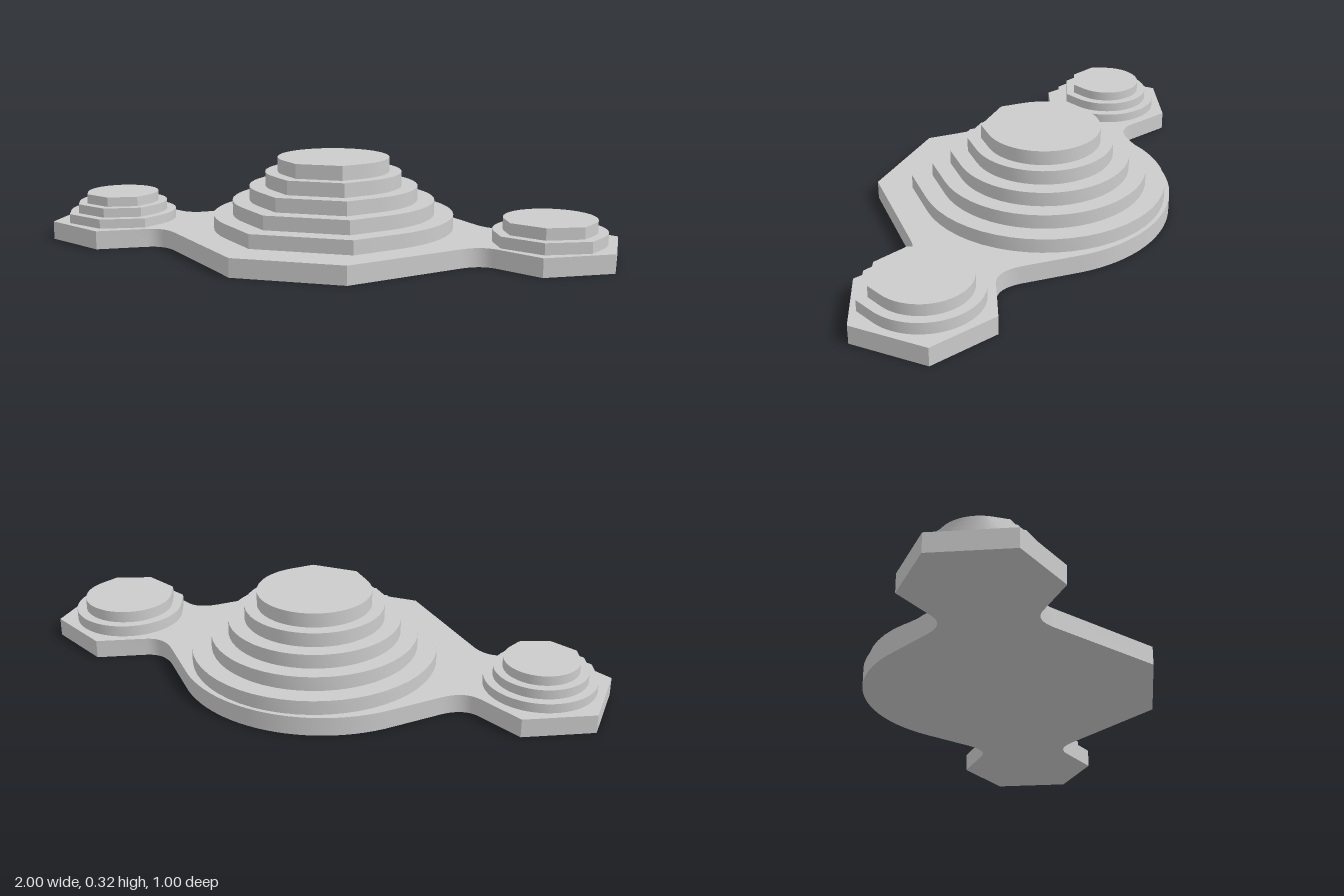
import * as THREE from 'three';
import { toCreasedNormals } from 'three/addons/utils/BufferGeometryUtils.js';

const material = new THREE.MeshStandardMaterial({ color: 0xcccccc });
const RAD = Math.PI / 180;

// Extrude a plan outline (x, -z) upwards from y0 to y1
function slab(name, points, y0, y1) {
  let geo = new THREE.ExtrudeGeometry(new THREE.Shape(points), { depth: y1 - y0, bevelEnabled: false });
  geo.rotateX(-Math.PI / 2);
  geo.translate(0, y0, 0);
  geo = toCreasedNormals(geo, 15 * RAD);
  const mesh = new THREE.Mesh(geo, material);
  mesh.name = name;
  return mesh;
}

// Round plan whose front is octagonal; corners are angles from the front in degrees
function facetedRound(r, corners, arcStart) {
  const pts = [];
  const at = (deg, d) => pts.push(new THREE.Vector2(Math.sin(deg * RAD) * d, -Math.cos(deg * RAD) * d));
  corners.forEach((a) => at(a, r / Math.cos(22.5 * RAD)));
  const n = 40;
  for (let i = 0; i <= n; i++) at(arcStart + ((360 - 2 * arcStart) * i) / n, r);
  return pts;
}

// Stack of shrinking tiers
function mound(name, x, z, radii, heights, corners, arcStart) {
  const group = new THREE.Group();
  group.name = name;
  radii.forEach((r, i) => {
    group.add(slab(`${name}Tier${i + 1}`, facetedRound(r, corners, arcStart), heights[i], heights[i + 1]));
  });
  group.position.set(x, 0, z);
  return group;
}

// Base plate: central body with a round back, filleted necks and hexagonal ends
function baseOutline() {
  const v = (x, y) => new THREE.Vector2(x, y);
  const neck = (s) =>
    new THREE.QuadraticBezierCurve(v(0.5, s * 0.2), v(0.56, s * 0.138), v(0.62, s * 0.168)).getPoints(8);
  const right = [
    v(0.195, -0.502),
    ...neck(-1),
    v(0.777, -0.25), v(1, -0.135), v(1, 0.135), v(0.777, 0.25),
    ...neck(1).reverse(),
  ];
  for (let i = 0; i < 12; i++) {
    const a = (45 + (45 * i) / 12) * RAD;
    right.push(v(Math.cos(a) * 0.503, Math.sin(a) * 0.503));
  }
  const left = right.map((p) => v(-p.x, p.y)).reverse();
  return [...right, v(0, 0.503), ...left];
}

export function createModel() {
  const model = new THREE.Group();
  model.name = 'steppedMounds';
  model.add(slab('basePlate', baseOutline(), 0, 0.065));

  // Large central mound with a flat front
  model.add(mound('centreMound', 0.005, -0.061,
    [0.428, 0.36, 0.3, 0.243, 0.199],
    [0.065, 0.115, 0.165, 0.215, 0.265, 0.316], [-22.5, 22.5], 45));

  // Small end mounds with a pointed front
  const corners = [-45, 0, 45];
  model.add(mound('leftMound', 0.777, 0, [0.194, 0.159], [0.065, 0.105, 0.146], corners, 67.5));
  model.add(mound('rightMound', -0.782, 0, [0.191, 0.159, 0.128], [0.065, 0.098, 0.131, 0.165], corners, 67.5));
  return model;
}
